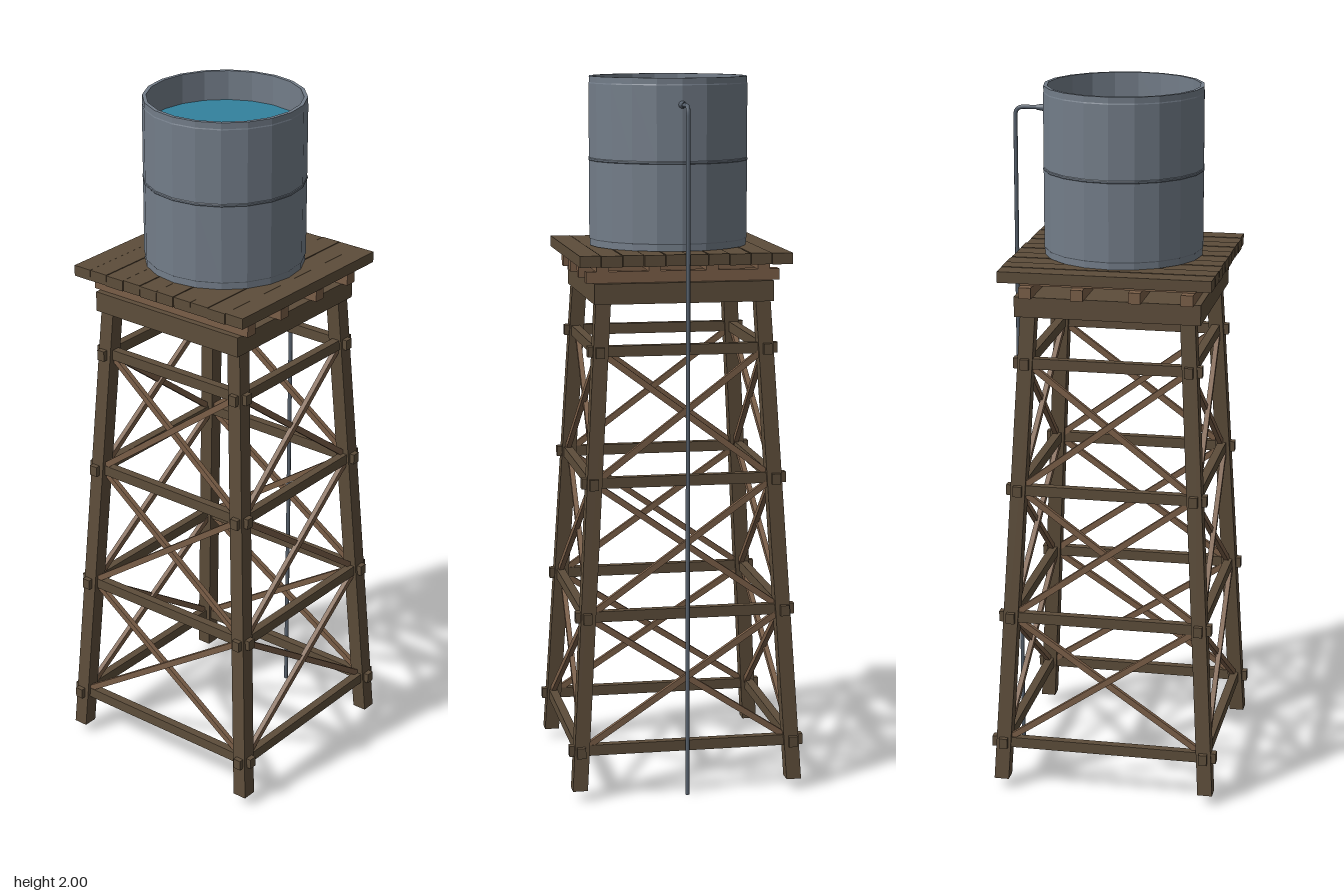
import * as THREE from 'three';

const material = (name, color, extra = {}) => {
  const m = new THREE.MeshStandardMaterial({ color, flatShading: true, ...extra });
  m.name = name;
  return m;
};

export function createModel() {
  const darkWood = material('dark wood', 0x5d4d3a);
  const lightWood = material('light wood', 0x7a5e47);
  const steel = material('tank steel', 0x737d89);
  const pipeMetal = material('pipe metal', 0x58626e, { flatShading: false });
  const water = material('water', 0x33819e);

  const root = new THREE.Group();
  root.name = 'waterTower';
  const add = (name, geometry, mat, parent = root) => {
    const mesh = new THREE.Mesh(geometry, mat);
    mesh.name = name;
    parent.add(mesh);
    return mesh;
  };
  const box = (name, size, pos, mat, parent) => {
    const mesh = add(name, new THREE.BoxGeometry(...size), mat, parent);
    mesh.position.set(...pos);
    return mesh;
  };

  // Distances of a leg's centre line from the middle at height y
  const spreadX = (y) => 0.297 - (y - 0.03) * 0.054;
  const spreadZ = (y) => 0.306 - (y - 0.03) * 0.0605;

  // Sloping legs: a square section sheared inwards so the ends stay level
  for (const sx of [-1, 1]) for (const sz of [-1, 1]) {
    const geo = new THREE.BoxGeometry(0.042, 1.37, 0.042);
    geo.translate(0, 0.715, 0);
    const p = geo.attributes.position;
    for (let i = 0; i < p.count; i++) {
      const y = p.getY(i);
      p.setX(i, p.getX(i) + sx * spreadX(y));
      p.setZ(i, p.getZ(i) + sz * spreadZ(y));
    }
    geo.computeVertexNormals();
    add('leg', geo, darkWood);
  }

  // Each side: four girts and three crossed pairs of braces
  const levels = [0.141, 0.519, 0.893, 1.257];
  for (let side = 0; side < 4; side++) {
    const frame = new THREE.Group();
    frame.name = 'sideFrame';
    frame.rotation.y = side * Math.PI / 2;
    root.add(frame);
    const turned = side % 2;
    const half = turned ? spreadZ : spreadX;
    const out = turned ? spreadX : spreadZ;
    levels.forEach((y, i) => {
      box('girt', [2 * half(y) + 0.069, 0.03, 0.024],
        [0, y + turned * 0.001, out(y) + (turned ? -0.001 : 0.003)], darkWood, frame);
      if (i === levels.length - 1) return;
      const y0 = y + 0.008, y1 = levels[i + 1] - 0.008;
      for (const sx of [-1, 1]) {
        const a = new THREE.Vector3(-sx * (half(y0) - 0.01), y0, out(y0) + sx * 0.004);
        const b = new THREE.Vector3(sx * (half(y1) - 0.01), y1, out(y1) + sx * 0.004);
        const dir = b.clone().sub(a);
        const mid = a.clone().add(b).multiplyScalar(0.5);
        const brace = box('crossBrace', [dir.length(), 0.017, 0.014], mid.toArray(), lightWood, frame);
        brace.quaternion.setFromUnitVectors(new THREE.Vector3(sx, 0, 0), dir.normalize());
      }
    });
  }

  // Head platform, joists and battens below the deck
  box('headPlatform', [0.52, 0.057, 0.5], [0, 1.4185, 0], darkWood);
  for (const t of [-0.225, -0.08, 0.08, 0.225]) {
    box('joist', [0.034, 0.031, 0.54], [t, 1.4625, 0], lightWood);
    box('batten', [0.49, 0.018, 0.034], [0, 1.487, t], lightWood);
  }

  // Deck planks
  const plankPitch = 0.0592;
  for (let i = 0; i < 10; i++) {
    box('deckPlank', [0.592 + (i % 3) * 0.002, 0.031, plankPitch - 0.002],
      [0, 1.511 + (i % 2) * 0.001, (i - 4.5) * plankPitch], darkWood);
  }

  // Open tank with stepped rims and a slim middle hoop
  const profile = [
    [0, 1.528], [0.2225, 1.528], [0.2225, 1.546], [0.2245, 1.549],
    [0.2245, 1.766], [0.2262, 1.768], [0.2262, 1.772], [0.2245, 1.774],
    [0.2245, 1.98], [0.2235, 1.983], [0.2235, 2], [0.213, 2], [0.213, 1.9], [0, 1.9],
  ].map(([r, y]) => new THREE.Vector2(r, y));
  add('tank', new THREE.LatheGeometry(profile, 20), steel);

  const surface = add('waterSurface', new THREE.CylinderGeometry(0.2135, 0.2135, 0.005, 20), water);
  surface.position.y = 1.914;

  // Outlet pipe: out of the tank, round a bend and down to the ground
  const pipeY = 1.928;
  const path = new THREE.CurvePath();
  const v = (x, y) => new THREE.Vector3(x, y, 0);
  path.add(new THREE.LineCurve3(v(0.218, pipeY), v(0.285, pipeY)));
  path.add(new THREE.QuadraticBezierCurve3(v(0.285, pipeY), v(0.309, pipeY), v(0.309, pipeY - 0.024)));
  path.add(new THREE.LineCurve3(v(0.309, pipeY - 0.024), v(0.309, 0)));
  add('pipe', new THREE.TubeGeometry(path, 240, 0.006, 8), pipeMetal);
  const foot = add('pipeEnd', new THREE.CircleGeometry(0.006, 8), pipeMetal);
  foot.rotation.x = Math.PI / 2;
  foot.position.set(0.309, 0, 0);

  const collar = add('pipeCollar', new THREE.CylinderGeometry(0.007, 0.011, 0.026, 10), pipeMetal);
  collar.rotation.z = -Math.PI / 2;
  collar.position.set(0.235, pipeY, 0);

  return root;
}
